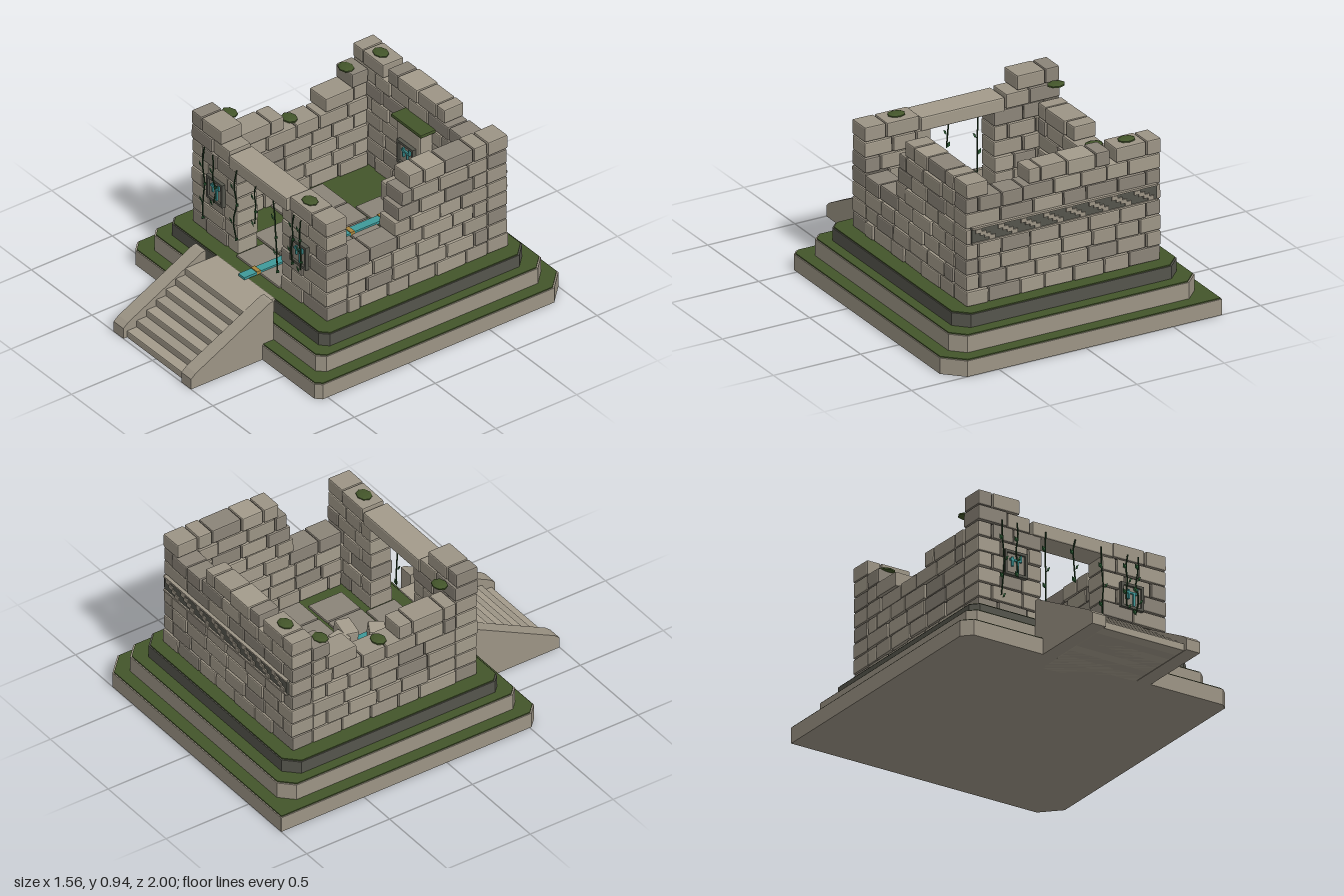
import * as THREE from 'three';
import { RoundedBoxGeometry } from 'three/addons/geometries/RoundedBoxGeometry.js';

const mat = (color, side = THREE.FrontSide) => new THREE.MeshStandardMaterial({ color, side, flatShading: true });
const STONE = mat(0x9c9485), PALE = mat(0xa39b8b), WORN = mat(0x8b8478), DARK = mat(0x55554c), JOINT = mat(0x4a463f);
const MOSS = mat(0x43552a), VINE = mat(0x1f3a20), LEAF = mat(0x2f6238, THREE.DoubleSide);
const TEAL = mat(0x3f9a9a), GOLD = mat(0xa8843c);

let seed = 7;
const rnd = () => (seed = (seed * 16807) % 2147483647) / 2147483647;
const jit = (a) => (rnd() - 0.5) * 2 * a;

function add(parent, geo, material, name, x = 0, y = 0, z = 0) {
  const m = new THREE.Mesh(geo, material);
  m.name = name;
  m.position.set(x, y, z);
  parent.add(m);
  return m;
}
// Boxes given by their low and high corners
function span(parent, material, name, [x0, y0, z0], [x1, y1, z1], bevel = 0) {
  const [w, h, d] = [x1 - x0, y1 - y0, z1 - z0];
  const geo = bevel ? new RoundedBoxGeometry(w, h, d, 1, bevel) : new THREE.BoxGeometry(w, h, d);
  return add(parent, geo, material, name, (x0 + x1) / 2, (y0 + y1) / 2, (z0 + z1) / 2);
}
function group(parent, name) {
  const g = new THREE.Group();
  g.name = name;
  parent.add(g);
  return g;
}

// Stepped platform: rectangle with cut corners [backLeft, backRight, frontRight, frontLeft]
function tier(parent, name, hx, zb, zf, y0, y1, cuts, material) {
  const layer = (inset, a, b, m, n) => {
    const X = hx - inset, B = -(zb + inset), F = -(zf - inset), [p, q, r, s] = cuts;
    const pts = [[-X + s, F], [X - r, F], [X, F + r], [X, B - q], [X - q, B], [-X + p, B], [-X, B - p], [-X, F + s]];
    const shape = new THREE.Shape(pts.map(([x, y]) => new THREE.Vector2(x, y)));
    const geo = new THREE.ExtrudeGeometry(shape, { depth: b - a, bevelEnabled: false });
    add(parent, geo.rotateX(-Math.PI / 2), m, n, 0, a, 0);
  };
  layer(0, y0, y1 - 0.006, material, name);
  layer(0.006, y1 - 0.006, y1, MOSS, name + 'Moss');
}

// Masonry wall: courses of uneven stones over a recessed mortar core
const BASE = 0.262, COURSE = 0.0835;
function wall(parent, name, alongX, c0, c1, courses) {
  const g = group(parent, name);
  const corner = (t, y, c) => (alongX ? [t, y, c] : [c, y, t]);
  courses.forEach((runs, i) => {
    const y = BASE + i * COURSE;
    for (const [a, b] of runs) {
      span(g, JOINT, 'mortar', corner(a + 0.015, y, c0 + 0.015), corner(b - 0.015, y + COURSE - 0.012, c1 - 0.015));
      let t = a, first = i % 2;
      while (b - t > 0.01) {
        let w = first ? 0.085 : 0.12 + rnd() * 0.07;
        first = 0;
        if (b - t - w < 0.07) w = b - t;
        const m = span(g, [STONE, STONE, PALE, WORN][Math.floor(rnd() * 4)], 'stone',
          corner(t + 0.003, y + 0.002, c0 + jit(0.005)),
          corner(t + w - 0.003, y + COURSE - 0.002, c1 + jit(0.005)), 0.007);
        m.rotation.set(jit(0.012), jit(0.015), jit(0.012));
        t += w;
      }
    }
  });
}

// Framed relief panel with a teal sign
function panel(parent, name, x, y, z) {
  const g = group(parent, name);
  g.position.set(x, y, z);
  span(g, WORN, 'panelBack', [-0.055, -0.055, -0.01], [0.055, 0.055, 0.004]);
  for (const s of [-1, 1]) {
    add(g, new THREE.BoxGeometry(0.014, 0.13, 0.025), DARK, 'frameSide', s * 0.06, 0, 0.004);
    add(g, new THREE.BoxGeometry(0.134, 0.014, 0.025), DARK, 'frameRail', 0, s * 0.06, 0.004);
  }
  const strokes = [[0, 0.02, 0.07, 0.01], [-0.02, 0.01, 0.01, 0.05], [0.012, -0.015, 0.01, 0.07], [0.03, 0.035, 0.01, 0.03]];
  for (const [sx, sy, w, h] of strokes) add(g, new THREE.BoxGeometry(w, h, 0.012), TEAL, 'inlay', sx, sy, 0.008);
}

// Hanging vine with pointed leaves
function vine(parent, x, y1, leaves) {
  const g = group(parent, 'vine');
  const pts = [0, 1, 2, 3, 4].map((i) => new THREE.Vector3(x + jit(0.01), 0.785 + (y1 - 0.785) * i / 4, 0.362 + jit(0.008)));
  const curve = new THREE.CatmullRomCurve3(pts);
  add(g, new THREE.TubeGeometry(curve, 10, 0.004, 5), VINE, 'stem');
  for (let i = 0; i < leaves; i++) {
    const p = curve.getPoint((i + 1) / leaves), s = i % 2 ? 1 : -1;
    const leaf = add(g, new THREE.OctahedronGeometry(0.02), LEAF, 'leaf', p.x + s * 0.012, p.y, p.z + 0.006);
    leaf.scale.set(0.5, 1, 0.25);
    leaf.rotation.set(0.4, s * 0.5, s * -0.7);
  }
}

export function createModel() {
  const model = new THREE.Group();
  model.name = 'ruinedTemple';

  // Platform
  tier(model, 'lowerTier', 0.78, -1, 0.56, 0, 0.092, [0.001, 0.1, 0.03, 0.05], STONE);
  tier(model, 'middleTier', 0.705, -0.925, 0.49, 0.092, 0.187, [0.07, 0.07, 0.04, 0.04], STONE);
  tier(model, 'upperTier', 0.645, -0.855, 0.425, 0.187, 0.262, [0.07, 0.07, 0.04, 0.04], DARK);

  // Stairs with sloping cheeks
  const stairs = group(model, 'stairs');
  for (let i = 0; i < 7; i++) {
    span(stairs, i % 2 ? STONE : PALE, 'step', [-0.24, 0, 0.42], [0.24, 0.268 - i * 0.038, 0.62 + i * 0.06], 0.005);
  }
  const cheek = new THREE.Shape([[0.49, 0], [1, 0], [1, 0.06], [0.97, 0.085], [0.51, 0.32], [0.49, 0.32]].map(([z, y]) => new THREE.Vector2(-z, y)).reverse());
  for (const s of [-1, 1]) {
    const geo = new THREE.ExtrudeGeometry(cheek, { depth: 0.08, bevelEnabled: false }).rotateY(Math.PI / 2);
    add(stairs, geo, STONE, 'cheek', s * 0.28 - 0.04, 0, 0);
  }

  // Walls, broken away towards the top
  const fill = (n, runs) => Array.from({ length: n }, () => runs);
  wall(model, 'frontWall', true, 0.21, 0.34, [
    ...fill(6, [[-0.56, -0.18], [0.18, 0.56]]), [[-0.56, -0.245], [0.245, 0.56]], [[-0.56, -0.31]]]);
  wall(model, 'backWall', true, -0.78, -0.655, [
    ...fill(7, [[-0.56, 0.56]]), [[-0.56, -0.3], [-0.27, 0.2], [0.43, 0.56]]]);
  wall(model, 'leftWall', false, 0.43, 0.56, [
    ...fill(4, [[-0.655, 0.21]]), [[-0.655, -0.08]], [[-0.655, -0.1]], [[-0.655, -0.12]], [[-0.655, -0.17]]]);
  wall(model, 'rightWall', false, -0.56, -0.43, [
    ...fill(5, [[-0.655, 0.21]]), [[-0.655, -0.39], [-0.14, 0.21]], [[-0.655, -0.55]]]);
  span(model, PALE, 'lintel', [-0.24, 0.755, 0.205], [0.24, 0.832, 0.35], 0.008);
  panel(model, 'frontPanelLeft', 0.345, 0.565, 0.345);
  panel(model, 'frontPanelRight', -0.345, 0.565, 0.345);

  // Stepped fret band on the back
  const fret = group(model, 'fretBand');
  span(fret, DARK, 'fretGround', [-0.53, 0.6, -0.79], [0.53, 0.69, -0.77]);
  for (const y of [0.6, 0.682]) span(fret, STONE, 'fretRail', [-0.53, y, -0.798], [0.53, y + 0.01, -0.78]);
  for (let i = 0; i < 8; i++) {
    for (let k = 0; k < 4; k++) {
      const x = -0.51 + i * 0.13 + k * 0.026;
      span(fret, STONE, 'fretStep', [x, 0.612 + k * 0.015, -0.796], [x + 0.034, 0.634 + k * 0.015, -0.785]);
    }
  }

  // Paving: rows of slabs [zBack, zFront, x edges]
  const paving = group(model, 'paving');
  const rows = [[-0.58, -0.38, [-0.17, 0.03, 0.31]], [-0.37, -0.21, [-0.43, -0.22, -0.05, 0.15, 0.36]],
    [-0.2, -0.05, [-0.43, -0.25, -0.09, 0.1, 0.26, 0.43]], [-0.03, 0.17, [-0.28, -0.07, 0.21, 0.38]],
    [0.18, 0.35, [-0.18, 0, 0.18]]];
  for (const [z0, z1, xs] of rows) {
    for (let i = 0; i + 1 < xs.length; i++) {
      span(paving, WORN, 'slab', [xs[i] + 0.004, 0.255, z0], [xs[i + 1] - 0.004, 0.274, z1], 0.004);
    }
  }

  // Water channel with gold bands
  span(model, TEAL, 'channel', [-0.024, 0.27, -0.52], [0.024, 0.284, 0.45]);
  for (const z of [-0.42, -0.22, 0.16, 0.36]) span(model, GOLD, 'channelBand', [-0.026, 0.27, z - 0.012], [0.026, 0.289, z + 0.012]);

  // Standing slab on its plinth
  const shrine = group(model, 'shrine');
  span(shrine, STONE, 'plinth', [-0.15, 0.262, -0.66], [0.14, 0.38, -0.52], 0.01);
  span(shrine, PALE, 'standingSlab', [-0.1, 0.38, -0.66], [0.1, 0.755, -0.58], 0.01);
  span(shrine, MOSS, 'slabMoss', [-0.125, 0.755, -0.66], [0.125, 0.775, -0.565], 0.006);
  panel(shrine, 'shrinePanel', 0, 0.59, -0.575);

  // Fallen stones
  for (const [x, z, w, r] of [[0, -0.11, 0.09, 0.3], [0.05, -0.03, 0.12, -0.15], [-0.04, 0.09, 0.09, -0.5]]) {
    add(model, new RoundedBoxGeometry(w, 0.07, 0.085, 1, 0.008), PALE, 'fallenStone', x, 0.315, z).rotation.set(0.1, r, 0.12);
  }

  // Moss cushions on the walls
  for (const [x, y, z] of [[-0.5, 0.845, -0.57], [-0.4, 0.93, -0.71], [-0.5, 0.685, -0.22], [-0.5, 0.865, 0.15], [0.34, 0.846, 0.28]]) {
    add(model, new THREE.SphereGeometry(0.05, 8, 5), MOSS, 'mossCushion', x, y, z).scale.set(1, 0.25, 0.8);
  }

  // Vines across the front
  for (const [x, y, n] of [[-0.43, 0.37, 4], [-0.345, 0.5, 3], [-0.17, 0.38, 4], [0, 0.56, 3], [0.16, 0.37, 4], [0.31, 0.5, 4], [0.37, 0.48, 5]]) vine(model, x, y, n);

  return model;
}
